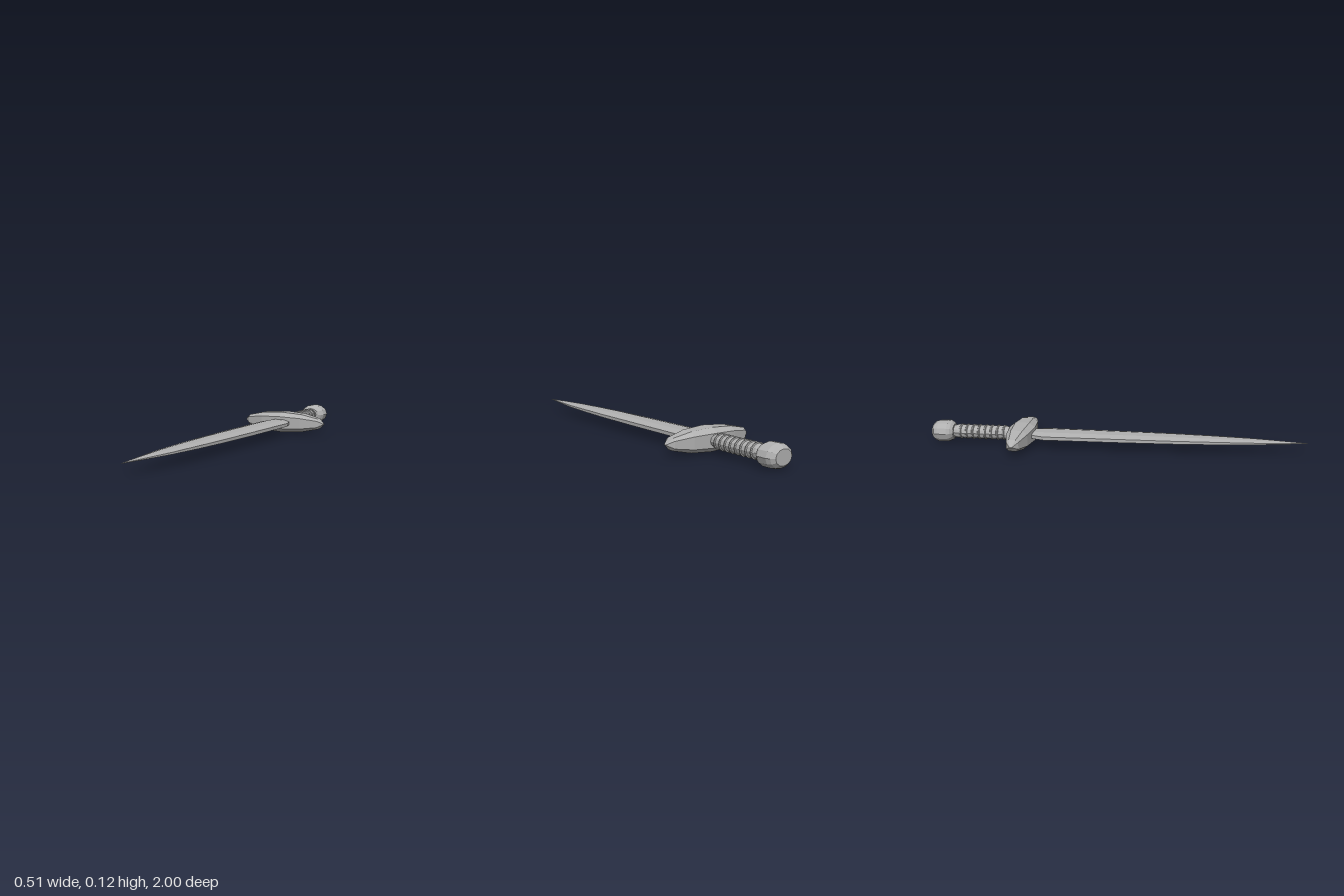
import * as THREE from 'three';

const AXIS_Y = 0.06; // height of the dagger's long axis
const steel = new THREE.MeshStandardMaterial({ color: 0xb0b0b0, flatShading: true });
steel.name = 'grey steel';

// Skin cross-sections, counter-clockwise in xy, ordered along +z; both ends are closed.
function loft(sections) {
  const n = sections[0].pts.length;
  const pos = [], index = [];
  for (const { z, pts } of sections) for (const [x, y] of pts) pos.push(x, y, z);
  for (let i = 0; i < sections.length - 1; i++) {
    for (let j = 0; j < n; j++) {
      const a = i * n + j, b = i * n + (j + 1) % n;
      index.push(a, b, b + n, a, b + n, a + n);
    }
  }
  const last = (sections.length - 1) * n;
  for (let j = 1; j < n - 1; j++) {
    index.push(0, j + 1, j, last, last + j, last + j + 1);
  }
  const geo = new THREE.BufferGeometry();
  geo.setAttribute('position', new THREE.Float32BufferAttribute(pos, 3));
  geo.setIndex(index);
  const flat = geo.toNonIndexed();
  flat.computeVertexNormals();
  return flat;
}

// Eight-sided section: outer corner (x1, y1) and inner corner (x2, y2), mirrored.
function octagon(x1, y1, x2, y2) {
  return [[x1, -y1], [x1, y1], [x2, y2], [-x2, y2], [-x1, y1], [-x1, -y1], [-x2, -y2], [x2, -y2]];
}

// Turned part along z from [radius, z] points, slightly flattened in height.
function turned(profile, sides, flatten) {
  const geo = new THREE.LatheGeometry(profile.map(([r, z]) => new THREE.Vector2(r, z)), sides);
  return geo.rotateX(Math.PI / 2).scale(1, flatten, 1);
}

export function createModel() {
  const model = new THREE.Group();
  model.name = 'dagger';
  const add = (name, geo, z = 0) => {
    const mesh = new THREE.Mesh(geo, steel);
    mesh.name = name;
    mesh.position.set(0, AXIS_Y, z);
    model.add(mesh);
  };

  // Blade: [z, half width, edge half height, half thickness]
  const blade = [
    [-0.5, 0.05, 0.009, 0.018], [-0.44, 0.064, 0.009, 0.019], [-0.38, 0.084, 0.009, 0.02],
    [0, 0.079, 0.009, 0.019], [0.3, 0.072, 0.008, 0.018], [0.5, 0.061, 0.007, 0.015],
    [0.7, 0.046, 0.005, 0.011], [0.85, 0.024, 0.003, 0.007], [1, 0.001, 0.001, 0.001],
  ];
  add('blade', loft(blade.map(([z, w, e, t]) => ({ z, pts: octagon(w, e, w * 0.42, t) }))));

  // Crossguard: [distance from centre, half depth, half height], mirrored to both sides
  const half = [[0, 0.069, 0.059], [0.125, 0.056, 0.051], [0.222, 0.032, 0.03], [0.255, 0.006, 0.001]];
  const stations = [
    ...half.slice(1).reverse().map(([d, w, h]) => [-d, w, h]),
    ...half,
  ];
  const guard = loft(stations.map(([z, w, h]) => ({ z, pts: octagon(w, h * 0.6, w * 0.55, h) })));
  add('crossguard', guard.rotateY(Math.PI / 2), -0.508);

  // Grip, with its wire wrap
  add('grip', turned([[0.034, -0.89], [0.043, -0.865], [0.043, -0.6], [0.036, -0.57], [0.036, -0.52]], 12, 0.86));
  for (let i = 0; i < 8; i++) {
    const ring = turned([[0.041, -0.007], [0.048, -0.003], [0.048, 0.003], [0.041, 0.007]], 12, 0.86);
    add('gripRing', ring, -0.845 + i * 0.034);
  }

  // Pommel
  add('pommel', turned([
    [0, -1], [0.05, -1], [0.068, -0.985], [0.076, -0.965],
    [0.076, -0.915], [0.066, -0.898], [0.05, -0.885], [0, -0.885],
  ], 12, 0.76));

  return model;
}
